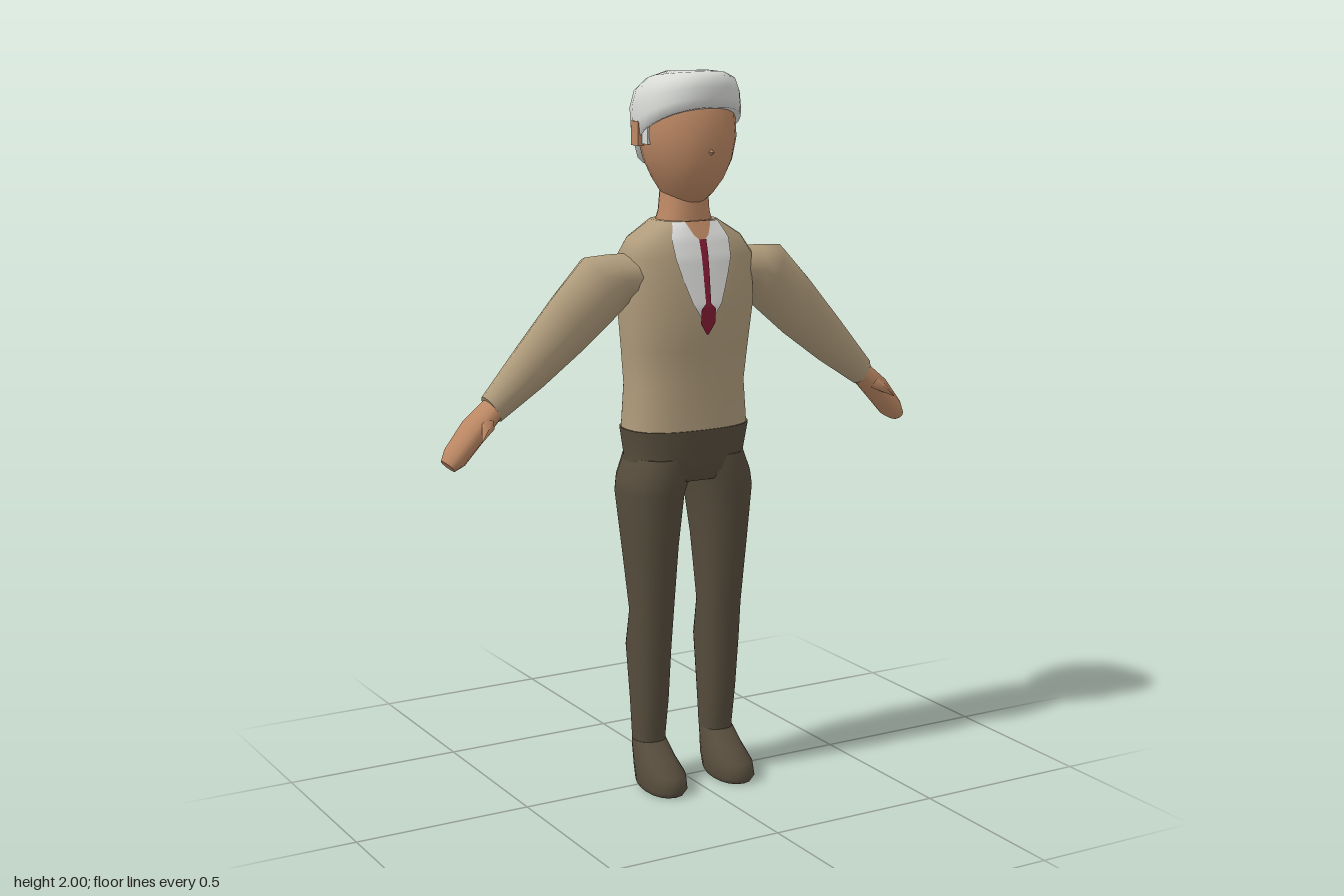
import * as THREE from 'three';

const mat = (name, color, side = THREE.FrontSide) => {
  const m = new THREE.MeshStandardMaterial({ color, side });
  m.name = name;
  return m;
};

// Skin a stack of closed rings, with crisp end caps
function loft(rings) {
  const n = rings[0].length, pos = [], idx = [];
  const add = p => pos.push(p.x, p.y, p.z);
  rings.forEach(r => r.forEach(add));
  for (let i = 0; i < rings.length - 1; i++) {
    for (let j = 0; j < n; j++) {
      const a = i * n + j, b = i * n + (j + 1) % n;
      idx.push(a, a + n, b, b, a + n, b + n);
    }
  }
  [rings[0], rings[rings.length - 1]].forEach((r, end) => {
    const base = pos.length / 3;
    r.forEach(add);
    add(r.reduce((s, p) => s.add(p), new THREE.Vector3()).divideScalar(n));
    for (let j = 0; j < n; j++) {
      const a = base + j, b = base + (j + 1) % n;
      idx.push(base + n, end ? b : a, end ? a : b);
    }
  });
  const g = new THREE.BufferGeometry();
  g.setAttribute('position', new THREE.Float32BufferAttribute(pos, 3));
  g.setIndex(idx);
  g.computeVertexNormals();
  return g;
}

// Rounded horizontal ring; e sets squareness, the slopes tilt its front and back halves
function ring([y, x0, x1, z0, z1, front = 0, back = 0], n = 24, e = 2.3) {
  const pw = v => Math.sign(v) * Math.abs(v) ** (2 / e);
  return Array.from({ length: n }, (_, j) => {
    const a = j / n * Math.PI * 2;
    const x = (x0 + x1) / 2 + (x1 - x0) / 2 * pw(Math.cos(a));
    const z = (z0 + z1) / 2 + (z1 - z0) / 2 * pw(Math.sin(a));
    return new THREE.Vector3(x, y + z * (z > 0 ? front : back), z);
  });
}
const sym = ([y, rx, ...rest]) => [y, -rx, rx, ...rest];

// Arm ring running through a top point and a bottom point
function armRing([tx, ty, bx, by, rz], n = 12) {
  return Array.from({ length: n }, (_, j) => {
    const a = j / n * Math.PI * 2, c = Math.cos(a) / 2;
    return new THREE.Vector3((tx + bx) / 2 + (tx - bx) * c, (ty + by) / 2 + (ty - by) * c, rz * Math.sin(a));
  });
}

const mirror = rings => rings.map(r => r.map(p => new THREE.Vector3(-p.x, p.y, p.z))).reverse();

// y, half width, back z, front z
const TORSO = [
  [1.02, 0.182, -0.121, 0.112], [1.15, 0.173, -0.117, 0.107], [1.25, 0.183, -0.115, 0.114],
  [1.37, 0.196, -0.114, 0.124], [1.5, 0.198, -0.108, 0.105], [1.55, 0.165, -0.1, 0.09],
  [1.597, 0.09, -0.085, 0.068],
];
const TORSO_E = 2.5;

// Depth of the chest surface at x, y
function chestZ(x, y) {
  let i = 0;
  while (i < TORSO.length - 2 && y > TORSO[i + 1][0]) i++;
  const A = TORSO[i], B = TORSO[i + 1], t = (y - A[0]) / (B[0] - A[0]);
  const [, rx, z0, z1] = A.map((v, k) => v + (B[k] - v) * t);
  const s = Math.max(0, 1 - Math.abs(x / rx) ** TORSO_E) ** (1 / TORSO_E);
  return (z0 + z1) / 2 + (z1 - z0) / 2 * s;
}

// Cloth panel lying on the chest, from rows of [y, half width], top to bottom
function chestPanel(rows, lift) {
  const pos = [], idx = [], k = 8, steps = 4, fine = [];
  rows.forEach(([y, w], i) => {
    const next = rows[i + 1];
    if (!next) return fine.push([y, w]);
    for (let s = 0; s < steps; s++) fine.push([y + (next[0] - y) * s / steps, w + (next[1] - w) * s / steps]);
  });
  fine.forEach(([y, w], i) => {
    for (let j = 0; j <= k; j++) {
      const x = w * (j / k * 2 - 1);
      pos.push(x, y, chestZ(x, y) + lift);
      if (i && j) {
        const d = i * (k + 1) + j, c = d - 1, b = d - k - 1, a = b - 1;
        idx.push(a, c, b, b, c, d);
      }
    }
  });
  const g = new THREE.BufferGeometry();
  g.setAttribute('position', new THREE.Float32BufferAttribute(pos, 3));
  g.setIndex(idx);
  g.computeVertexNormals();
  return g;
}

export function createModel() {
  const root = new THREE.Group();
  root.name = 'standingMan';
  const skin = mat('skin', 0xbb8763), jacket = mat('tan jacket', 0xaf9b7b);
  const trousers = mat('dark brown trousers', 0x564c3c), hairMat = mat('white hair', 0xd8dad6);
  const shirt = mat('white shirt', 0xdedfdc, THREE.DoubleSide), red = mat('red tie', 0x861c34, THREE.DoubleSide);
  const add = (name, geo, m) => {
    const mesh = new THREE.Mesh(geo, m);
    mesh.name = name;
    root.add(mesh);
    return mesh;
  };

  // Jacket body and hips
  add('torso', loft(TORSO.map(s => ring(sym(s), 24, TORSO_E))), jacket);
  add('hips', loft([
    [0.885, 0.17, -0.105, 0.09], [0.91, 0.18, -0.118, 0.1], [0.95, 0.172, -0.122, 0.107], [1.03, 0.186, -0.123, 0.115],
  ].map(s => ring(sym(s), 24, TORSO_E))), trousers);

  // Shirt front, open collar and tie
  add('shirtFront', chestPanel([[1.595, 0.07], [1.55, 0.088], [1.5, 0.085], [1.45, 0.07], [1.38, 0.045], [1.33, 0.012]], 0.004), shirt);
  add('throat', chestPanel([[1.597, 0.04], [1.56, 0.022], [1.545, 0.004]], 0.006), skin);
  add('tie', chestPanel([[1.55, 0.011], [1.38, 0.008], [1.365, 0.022], [1.325, 0.022], [1.295, 0.003]], 0.008), red);

  // Neck and head
  add('neck', loft([
    [1.57, 0.085, -0.08, 0.065], [1.62, 0.068, -0.073, 0.062], [1.69, 0.062, -0.068, 0.06],
  ].map(s => ring(sym(s), 20))), skin);
  add('head', loft([
    [1.645, 0.045, -0.055, 0.06], [1.67, 0.065, -0.075, 0.095], [1.71, 0.092, -0.095, 0.125], [1.76, 0.117, -0.11, 0.14],
    [1.82, 0.131, -0.12, 0.146], [1.9, 0.13, -0.125, 0.135], [1.95, 0.1, -0.1, 0.1],
  ].map(s => ring(sym(s), 24, 2.1))), skin);
  const nose = add('nose', new THREE.ConeGeometry(0.012, 0.025, 4), skin);
  nose.position.set(0, 1.785, 0.147);
  nose.rotation.x = Math.PI / 2;

  // Hair cap, sweeping down toward the nape
  add('hair', loft([
    [1.835, 0.12, -0.09, 0.125, 0.5, 0.9], [1.83, 0.139, -0.115, 0.153, 0.48, 0.88],
    [1.87, 0.142, -0.143, 0.156, 0.38, 0.5], [1.915, 0.14, -0.157, 0.156, 0.27, 0.25],
    [1.955, 0.126, -0.152, 0.15, 0.2, 0.18], [1.983, 0.095, -0.12, 0.125, 0.1, 0.18], [1.995, 0.05, -0.06, 0.08, 0.03, 0.1],
  ].map(s => ring(sym(s), 24, 2.2))), hairMat);

  // Paired parts: x positive first, then mirrored
  for (const s of [1, -1]) {
    const side = s > 0 ? 'left' : 'right';
    const both = rings => loft(s > 0 ? rings : mirror(rings));

    add(side + 'Ear', new THREE.BoxGeometry(0.022, 0.065, 0.04), skin).position.set(s * 0.132, 1.83, -0.02);
    add(side + 'Sideburn', new THREE.BoxGeometry(0.008, 0.05, 0.03), hairMat).position.set(s * 0.129, 1.828, 0.02);

    add(side + 'Sleeve', both([
      [0.607, 1.16, 0.565, 1.09, 0.042], [0.505, 1.285, 0.44, 1.17, 0.051], [0.4, 1.41, 0.32, 1.257, 0.057],
      [0.306, 1.509, 0.21, 1.35, 0.07], [0.24, 1.513, 0.18, 1.385, 0.075], [0.15, 1.513, 0.13, 1.4, 0.07],
    ].map(r => armRing(r))), jacket);
    add(side + 'Hand', both([
      [0.727, 1.0, 0.7, 0.971, 0.034], [0.715, 1.03, 0.672, 0.985, 0.046],
      [0.66, 1.1, 0.613, 1.05, 0.053], [0.595, 1.155, 0.56, 1.105, 0.041],
    ].map(r => armRing(r))), skin);
    const thumb = add(side + 'Thumb', new THREE.ConeGeometry(0.022, 0.07, 4), skin);
    thumb.position.set(s * 0.632, 1.075, 0.06);
    thumb.quaternion.setFromUnitVectors(new THREE.Vector3(0, 1, 0), new THREE.Vector3(s * 0.55, -0.55, 0.63).normalize());

    add(side + 'Leg', both([
      [0.1, 0.066, 0.155, -0.06, 0.035], [0.15, 0.063, 0.155, -0.064, 0.036], [0.25, 0.058, 0.16, -0.072, 0.05],
      [0.4, 0.051, 0.169, -0.085, 0.06], [0.51, 0.049, 0.168, -0.062, 0.07], [0.7, 0.036, 0.185, -0.09, 0.087],
      [0.85, 0.018, 0.199, -0.113, 0.1], [0.89, 0.002, 0.193, -0.119, 0.104], [0.95, 0.0, 0.17, -0.115, 0.1],
    ].map(r => ring(r, 16))), trousers);
    add(side + 'Shoe', both([
      [0.0, 0.06, 0.16, -0.025, 0.145], [0.015, 0.05, 0.17, -0.035, 0.156], [0.055, 0.05, 0.168, -0.05, 0.147],
      [0.09, 0.058, 0.162, -0.057, 0.09], [0.13, 0.064, 0.156, -0.062, 0.037],
    ].map(r => ring(r, 16))), trousers);
  }
  return root;
}
